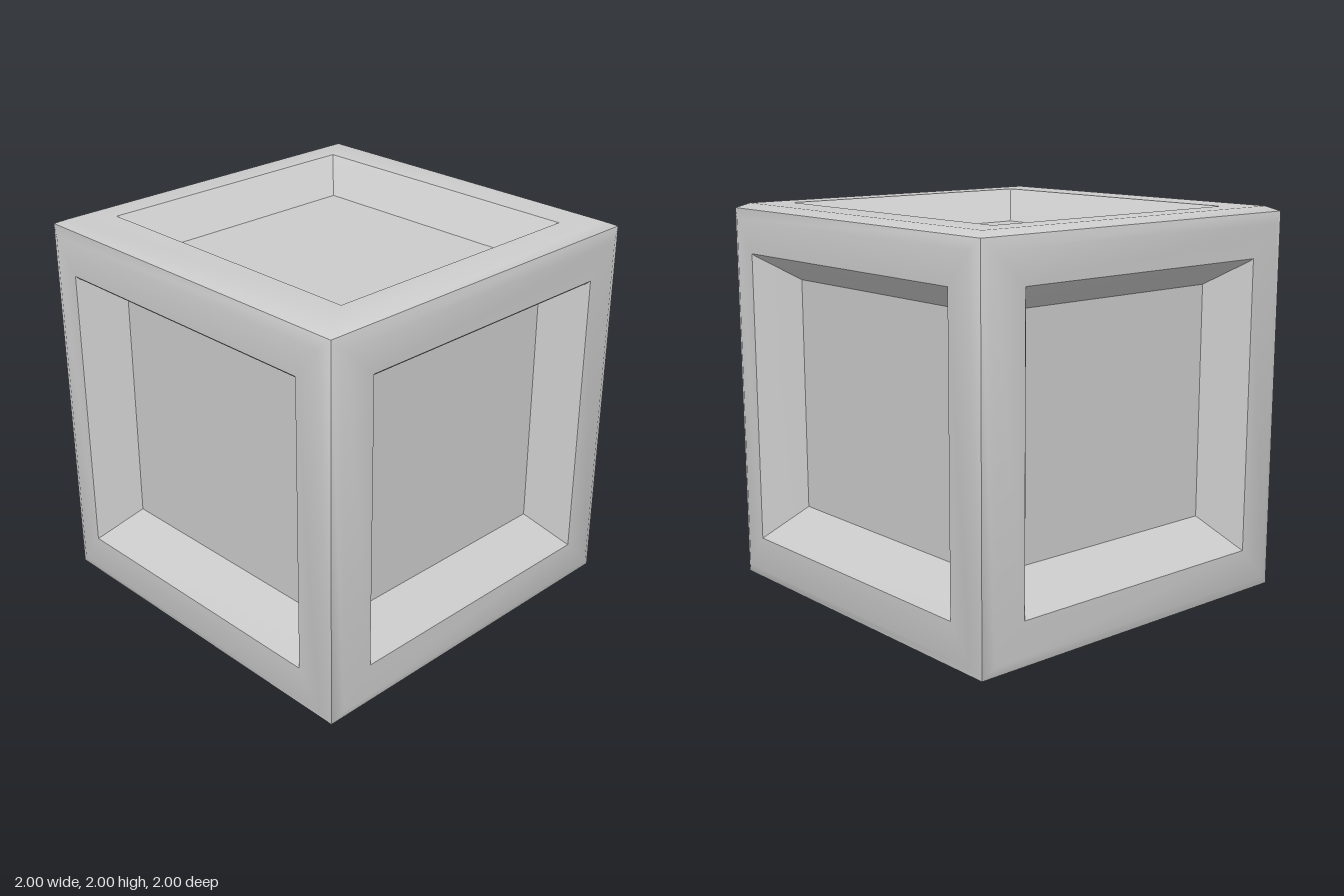
import * as THREE from 'three';
import { toCreasedNormals } from 'three/addons/utils/BufferGeometryUtils.js';

// Rectangular ring of four corners, lying at height z on a side facing +z
const ring = (halfWidth, low, high, z) => [
  [-halfWidth, low, z], [halfWidth, low, z], [halfWidth, high, z], [-halfWidth, high, z],
];

// Strips between successive rings (outermost first); optionally caps the last one
function ringGeometry(rings, capped) {
  const position = [];
  const quad = (a, b, c, d) => position.push(...a, ...b, ...c, ...a, ...c, ...d);
  for (let i = 0; i < rings.length - 1; i++) {
    for (let k = 0; k < 4; k++) {
      const n = (k + 1) % 4;
      quad(rings[i][k], rings[i][n], rings[i + 1][n], rings[i + 1][k]);
    }
  }
  if (capped) quad(...rings[rings.length - 1]);
  const geometry = new THREE.BufferGeometry();
  geometry.setAttribute('position', new THREE.Float32BufferAttribute(position, 3));
  return toCreasedNormals(geometry, THREE.MathUtils.degToRad(35));
}

export function createModel() {
  const model = new THREE.Group();
  model.name = 'panelledCube';
  const material = new THREE.MeshStandardMaterial({ color: 0xcccccc });
  const lip = 0.012;

  // Softened outer edge shared by all six sides
  const edge = [ring(0.975, -0.975, 0.975, 0.975), ring(0.92, -0.92, 0.92, 1)];

  // opening and floor: [half width, low, high]
  const frontBack = { opening: [0.775, -0.73, 0.745], floor: [0.63, -0.57, 0.625], depth: 0.19 };
  const leftRight = { opening: [0.735, -0.73, 0.745], floor: [0.595, -0.57, 0.625], depth: 0.19 };
  const topSide = { opening: [0.775, -0.72, 0.735], floor: [0.63, -0.59, 0.6], depth: 0.165 };

  const sides = [
    { name: 'front', tilt: 0, turn: 0, recess: frontBack },
    { name: 'back', tilt: 0, turn: Math.PI, recess: frontBack },
    { name: 'left', tilt: 0, turn: Math.PI / 2, recess: leftRight },
    { name: 'right', tilt: 0, turn: -Math.PI / 2, recess: leftRight },
    { name: 'top', tilt: -Math.PI / 2, turn: 0, recess: topSide },
    { name: 'bottom', tilt: Math.PI / 2, turn: 0 },
  ];

  for (const { name, tilt, turn, recess } of sides) {
    const side = new THREE.Group();
    side.name = `${name}Side`;
    side.rotation.set(tilt, turn, 0);
    side.position.y = 1;
    const add = (part, geometry) => {
      const mesh = new THREE.Mesh(geometry, material);
      mesh.name = name + part;
      side.add(mesh);
    };

    if (recess) {
      // Frame with a soft lip and sloping inner walls
      const [w, low, high] = recess.opening;
      const floor = ring(...recess.floor, 1 - recess.depth);
      add('Frame', ringGeometry([
        ...edge,
        ring(w + lip, low - lip, high + lip, 1),
        ring(w, low, high, 1 - lip),
        floor,
      ], false));
      // Sunken panel
      add('Panel', ringGeometry([floor], true));
    } else {
      // Plain base
      add('Base', ringGeometry(edge, true));
    }
    model.add(side);
  }
  return model;
}
